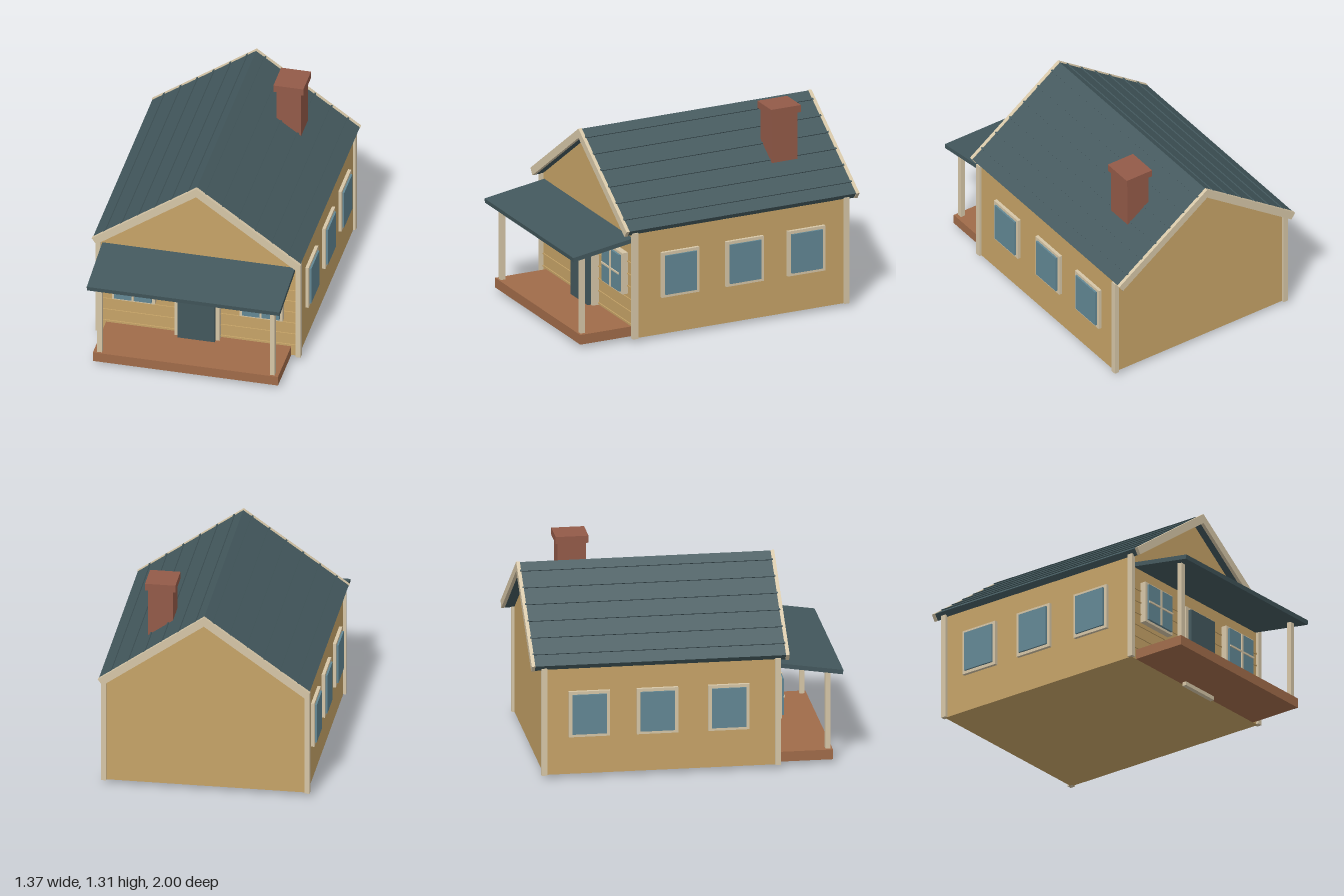
import * as THREE from 'three';

const mat = (name, color) => {
  const m = new THREE.MeshStandardMaterial({ color });
  m.name = name;
  return m;
};

export function createModel() {
  const house = new THREE.Group();
  house.name = 'house';
  const wall = mat('ochre wall', 0xc6a367);
  const trim = mat('cream trim', 0xd6c6a7);
  const roof = mat('slate roof', 0x43585d);
  const glass = mat('blue glass', 0x628794);
  const brick = mat('red brick', 0x935a48);
  const wood = mat('deck wood', 0xa06b49);

  const add = (name, geometry, material) => {
    const mesh = new THREE.Mesh(geometry, material);
    mesh.name = name;
    house.add(mesh);
    return mesh;
  };
  // Box given by its limits on each axis
  const box = (name, material, x0, x1, y0, y1, z0, z1) =>
    add(name, new THREE.BoxGeometry(x1 - x0, y1 - y0, z1 - z0)
      .translate((x0 + x1) / 2, (y0 + y1) / 2, (z0 + z1) / 2), material);
  // Outline in x and y, extruded from z0 to z1
  const prism = (points, z0, z1) => new THREE.ExtrudeGeometry(
    new THREE.Shape(points.map(([x, y]) => new THREE.Vector2(x, y))),
    { depth: z1 - z0, bevelEnabled: false }).translate(0, 0, z0);

  // Walls with gables
  add('walls', prism([[-0.65, 0.025], [0.65, 0.025], [0.65, 0.725], [0, 1.185], [-0.65, 0.725]], -0.917, 0.577), wall);

  // Siding strips on the front
  for (let i = 0; i < 6; i++) {
    const y = 0.104 + i * 0.0822;
    box('sidingStrip', wall, -0.636, 0.636, y - 0.004, y + 0.004, 0.57, 0.584);
  }

  // Corner boards
  for (const s of [-1, 1]) {
    for (const z of [0.578, -0.917]) {
      box('cornerBoard', trim, s * 0.651 - 0.016, s * 0.651 + 0.016, 0.025, 0.735, z - 0.018, z + 0.018);
    }
  }

  // Gable roof and its end boards
  const chevron = (top, t, x) => {
    const slope = 0.706, y = top - slope * x, inX = x - 0.029;
    const inTop = top - t;
    return [[0, top], [-x, y], [-inX, inTop - slope * inX], [0, inTop],
      [inX, inTop - slope * inX], [x, y]];
  };
  add('roof', prism(chevron(1.234, 0.058, 0.675), -0.978, 0.626), roof);
  add('frontGableTrim', prism(chevron(1.238, 0.062, 0.679), 0.626, 0.649), trim);
  add('backGableTrim', prism(chevron(1.238, 0.062, 0.679), -1, -0.977), trim);

  // Roof seams
  const pitch = Math.atan(0.706);
  for (const s of [-1, 1]) {
    for (let i = 0; i < 6; i++) {
      const x = 0.058 + i * 0.108;
      const seam = add('roofSeam', new THREE.BoxGeometry(0.012, 0.012, 1.615), roof);
      seam.position.set(s * x, 1.235 - 0.706 * x, -0.176);
      seam.rotation.z = -s * pitch;
    }
  }

  // Chimney
  box('chimney', brick, 0.244, 0.404, 0.9, 1.27, -0.699, -0.517);
  box('chimneyCap', brick, 0.226, 0.421, 1.266, 1.313, -0.714, -0.504);

  // Door
  box('doorFrame', trim, -0.145, 0.145, 0, 0.55, 0.592, 0.622);
  box('doorFrameBack', trim, -0.145, 0.145, 0.09, 0.55, 0.57, 0.593);
  box('door', roof, -0.12, 0.12, 0.09, 0.53, 0.6, 0.646);

  // Front windows with crossbars
  for (const s of [-1, 1]) {
    const x = s * 0.416, y = 0.434;
    box('frontWindowFrame', trim, x - 0.14, x + 0.14, y - 0.138, y + 0.138, 0.57, 0.617);
    box('frontWindowGlass', glass, x - 0.121, x + 0.121, y - 0.122, y + 0.122, 0.6, 0.632);
    box('windowBarUpright', trim, x - 0.007, x + 0.007, y - 0.122, y + 0.122, 0.63, 0.639);
    box('windowBarLevel', trim, x - 0.121, x + 0.121, y - 0.006, y + 0.006, 0.63, 0.639);
  }

  // Side windows
  for (const s of [-1, 1]) {
    for (const z of [0.262, -0.194, -0.63]) {
      const side = (name, m, x, hy, hz) =>
        box(name, m, s * x - 0.02, s * x + 0.02, 0.425 - hy, 0.425 + hy, z - hz, z + hz);
      side('sideWindowFrame', trim, 0.651, 0.151, 0.132);
      side('sideWindowGlass', glass, 0.663, 0.131, 0.11);
    }
  }

  // Porch deck, posts and sloping roof
  box('porchDeck', wood, -0.602, 0.602, 0.025, 0.09, 0.574, 0.937);
  for (const s of [-1, 1]) {
    box('porchPost', trim, s * 0.562 - 0.016, s * 0.562 + 0.016, 0.09, 0.615, 0.892, 0.924);
  }
  add('porchRoof', prism([[0.572, 0.662], [0.996, 0.596], [1, 0.625], [0.576, 0.69]], -0.627, 0.627)
    .rotateY(-Math.PI / 2), roof);

  return house;
}
